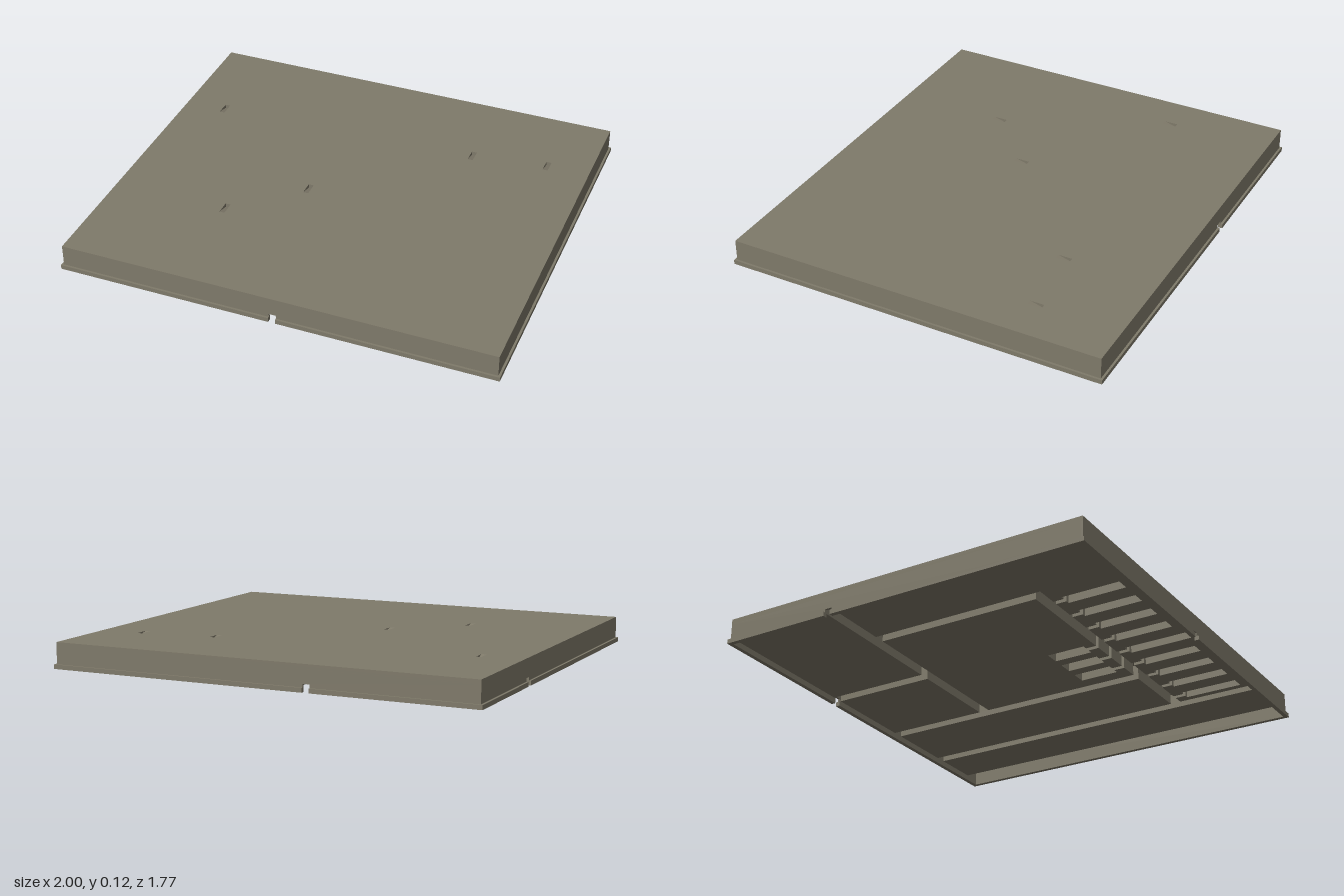
import * as THREE from 'three';

const HALF_X = 1, HALF_Z = 0.885;
const FLOOR = 0.025, CEILING = 0.095, ROOF = 0.118;

export function createModel() {
  const model = new THREE.Group();
  const stone = new THREE.MeshStandardMaterial({ color: 0x7f7a6a });
  stone.name = 'olive grey stone';

  const add = (name, geometry, x = 0, y = 0, z = 0, parent = model) => {
    const mesh = new THREE.Mesh(geometry, stone);
    mesh.name = name;
    mesh.position.set(x, y, z);
    parent.add(mesh);
    return mesh;
  };
  const rect = (Type, x0, x1, y0, y1) => new Type([
    new THREE.Vector2(x0, y0), new THREE.Vector2(x1, y0),
    new THREE.Vector2(x1, y1), new THREE.Vector2(x0, y1),
  ]);

  // Upright strip along x with an optional doorway cut in its lower edge
  const strip = (length, height, depth, door, doorHeight) => {
    const h = length / 2, w = 0.016;
    const pts = [[-h, 0]];
    if (door !== null) {
      const top = Math.min(doorHeight, height);
      if (top < height) pts.push([door - w, 0], [door - w, top], [door + w, top], [door + w, 0]);
      else {
        return [rect(THREE.Shape, -h, door - w, 0, height), rect(THREE.Shape, door + w, h, 0, height)]
          .map((s) => new THREE.ExtrudeGeometry(s, { depth, bevelEnabled: false }));
      }
    }
    pts.push([h, 0], [h, height], [-h, height]);
    const shape = new THREE.Shape(pts.map(([x, y]) => new THREE.Vector2(x, y)));
    return [new THREE.ExtrudeGeometry(shape, { depth, bevelEnabled: false })];
  };

  // Four outer walls, each with a low flange at the foot
  const sides = [
    ['front', 0, HALF_X, HALF_Z, 0],
    ['back', Math.PI, HALF_X, HALF_Z, 0.23],
    ['left', Math.PI / 2, HALF_Z, HALF_X, null],
    ['right', -Math.PI / 2, HALF_Z, HALF_X, -0.35],
  ];
  for (const [name, angle, half, distance, door] of sides) {
    const side = new THREE.Group();
    side.name = name + 'Side';
    side.rotation.y = angle;
    model.add(side);
    strip(2 * half - 0.02, CEILING, 0.01, door, 0.035)
      .forEach((g) => add(name + 'Wall', g, 0, 0, distance - 0.02, side));
    strip(2 * half, 0.02, 0.01, door, 0.035)
      .forEach((g) => add(name + 'Flange', g, 0, 0, distance - 0.01, side));
  }

  // Passages cut into the underside: x0, x1, z0, z1
  const inX = HALF_X - 0.02, inZ = HALF_Z - 0.02;
  const passages = [
    [0.9, inX, -inZ, inZ],
    [0.62, 0.67, -inZ, inZ],
    [0.24, 0.29, -inZ, 0.47],
    [-0.255, -0.205, -inZ, -0.33],
    [-inX, 0.27, -0.375, -0.325],
    [-0.68, -0.63, -0.35, 0.5],
    [-0.68, 0.65, 0.45, 0.5],
  ];
  for (let i = -4; i <= 4; i++) {
    const x = i * 0.14;
    passages.push([x - 0.03, x + 0.03, 0.55, i === 0 ? inZ : 0.82]);
    passages.push([x - 0.012, x + 0.012, 0.48, 0.57]);
  }
  for (const x of [0.14, 0.02, -0.1]) {
    passages.push([x - 0.035, x + 0.035, 0.22, 0.4], [x - 0.012, x + 0.012, 0.38, 0.47]);
  }

  // Solid blocks fill everything between the passages
  const cuts = (a, b, limit) => [...new Set([-limit, limit, ...passages.flatMap((p) => [p[a], p[b]])])]
    .sort((m, n) => m - n);
  const xs = cuts(0, 1, inX), zs = cuts(2, 3, inZ);
  const blocks = new THREE.Group();
  blocks.name = 'foundationBlocks';
  model.add(blocks);
  for (let i = 0; i + 1 < xs.length; i++) {
    const cx = (xs[i] + xs[i + 1]) / 2;
    let start = null;
    for (let j = 0; j < zs.length; j++) {
      const cz = (zs[j] + zs[j + 1]) / 2;
      const solid = j + 1 < zs.length
        && !passages.some((p) => cx > p[0] && cx < p[1] && cz > p[2] && cz < p[3]);
      if (solid && start === null) start = zs[j];
      if (!solid && start !== null) {
        add('foundationBlock',
          new THREE.BoxGeometry(xs[i + 1] - xs[i], CEILING - FLOOR, zs[j] - start),
          cx, (CEILING + FLOOR) / 2, (start + zs[j]) / 2, blocks);
        start = null;
      }
    }
  }

  // Roof slab with five narrow sunken stairwells
  const rx = HALF_X - 0.01, rz = HALF_Z - 0.01;
  const wells = [[-0.797, -0.383], [0.445, -0.437], [0.792, -0.483], [-0.163, 0.087], [-0.452, 0.36]];
  const roof = rect(THREE.Shape, -rx, rx, -rz, rz);
  const w = 0.012, l = 0.033, under = 0.1;
  for (const [x, z] of wells) roof.holes.push(rect(THREE.Path, x - w, x + w, -z - l, -z + l));
  const slab = new THREE.ExtrudeGeometry(roof, { depth: ROOF - under, bevelEnabled: false });
  slab.rotateX(-Math.PI / 2);
  add('roof', slab, 0, under, 0);
  add('ceiling', new THREE.BoxGeometry(2 * rx, under - CEILING, 2 * rz), 0, (under + CEILING) / 2, 0);

  // Ramp in each well, rising to roof level towards the front
  const wedge = new THREE.Shape([
    new THREE.Vector2(-l, 0), new THREE.Vector2(l, 0), new THREE.Vector2(l, ROOF - under),
  ]);
  for (const [x, z] of wells) {
    const ramp = new THREE.ExtrudeGeometry(wedge, { depth: 2 * w, bevelEnabled: false });
    ramp.translate(0, 0, -w).rotateY(-Math.PI / 2);
    add('stairRamp', ramp, x, under, z);
  }

  return model;
}
